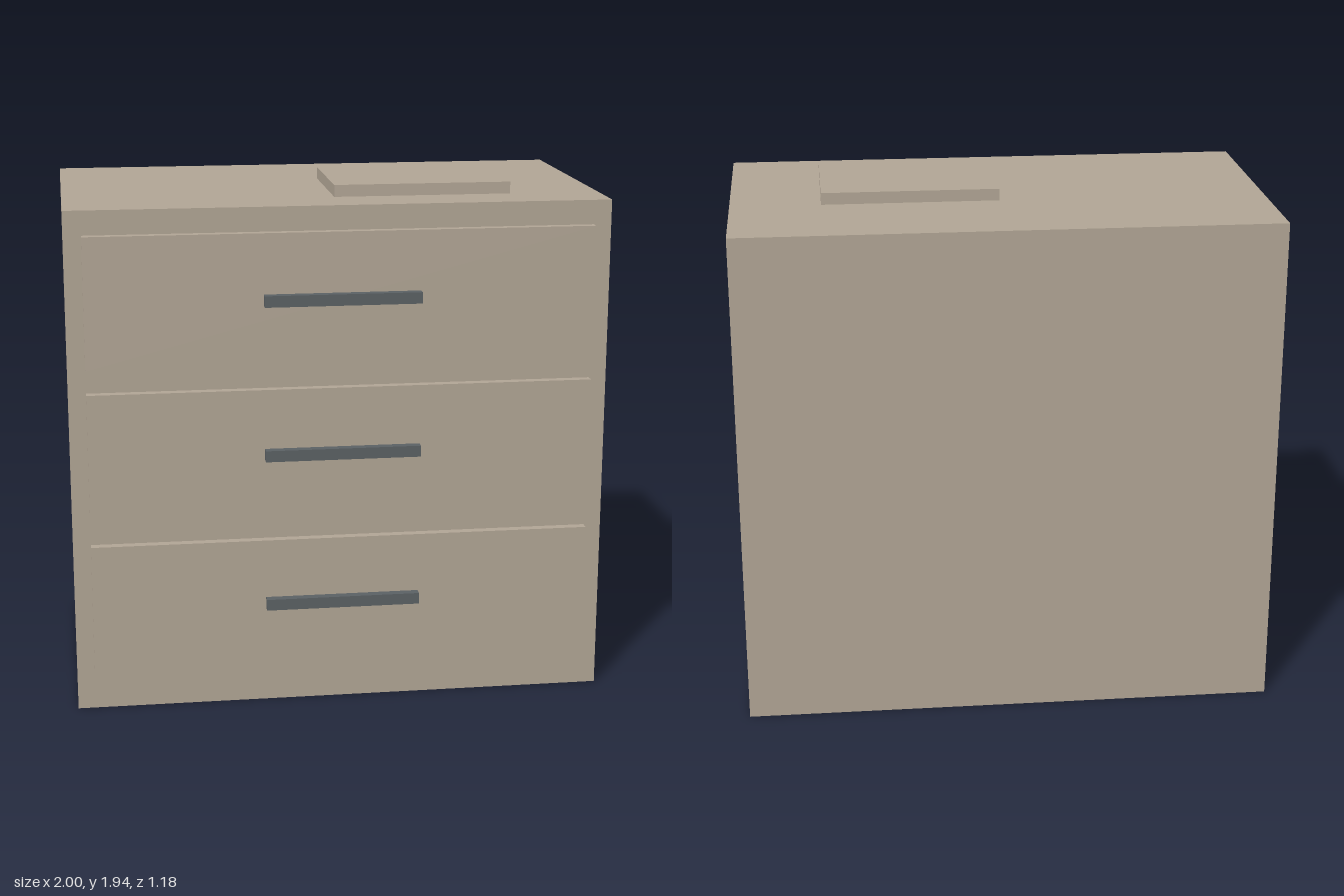
import * as THREE from 'three';

export function createModel() {
  const model = new THREE.Group();
  model.name = 'chestOfDrawers';

  const wood = new THREE.MeshStandardMaterial({ color: 0xb0a494 });
  wood.name = 'taupe wood';
  const metal = new THREE.MeshStandardMaterial({ color: 0x5a6063 });
  metal.name = 'dark grey metal';

  // Box given by its extents along each axis
  function addBox(parent, name, material, [x0, x1], [y0, y1], [z0, z1]) {
    const mesh = new THREE.Mesh(new THREE.BoxGeometry(x1 - x0, y1 - y0, z1 - z0), material);
    mesh.position.set((x0 + x1) / 2, (y0 + y1) / 2, (z0 + z1) / 2);
    mesh.name = name;
    parent.add(mesh);
  }

  const top = 1.893, back = -0.588, front = 0.52;
  const panelFront = 0.554, handleFront = 0.588;

  // Cabinet body
  addBox(model, 'cabinet', wood, [-1, 1], [0, top], [back, front]);

  // Three drawers, each a raised front with a bar handle
  ['bottom', 'middle', 'top'].forEach((level, i) => {
    const drawer = new THREE.Group();
    drawer.name = level + 'Drawer';
    drawer.position.y = 0.403 + i * 0.578;
    addBox(drawer, 'drawerFront', wood, [-0.935, 0.935], [-0.244, 0.244], [front, panelFront]);
    addBox(drawer, 'handle', metal, [-0.288, 0.288], [-0.021, 0.021], [panelFront, handleFront]);
    model.add(drawer);
  });

  // Flat slab lying on the cabinet top
  addBox(model, 'topSlab', wood, [0, 0.663], [top, 1.937], [-0.167, 0.323]);

  return model;
}
